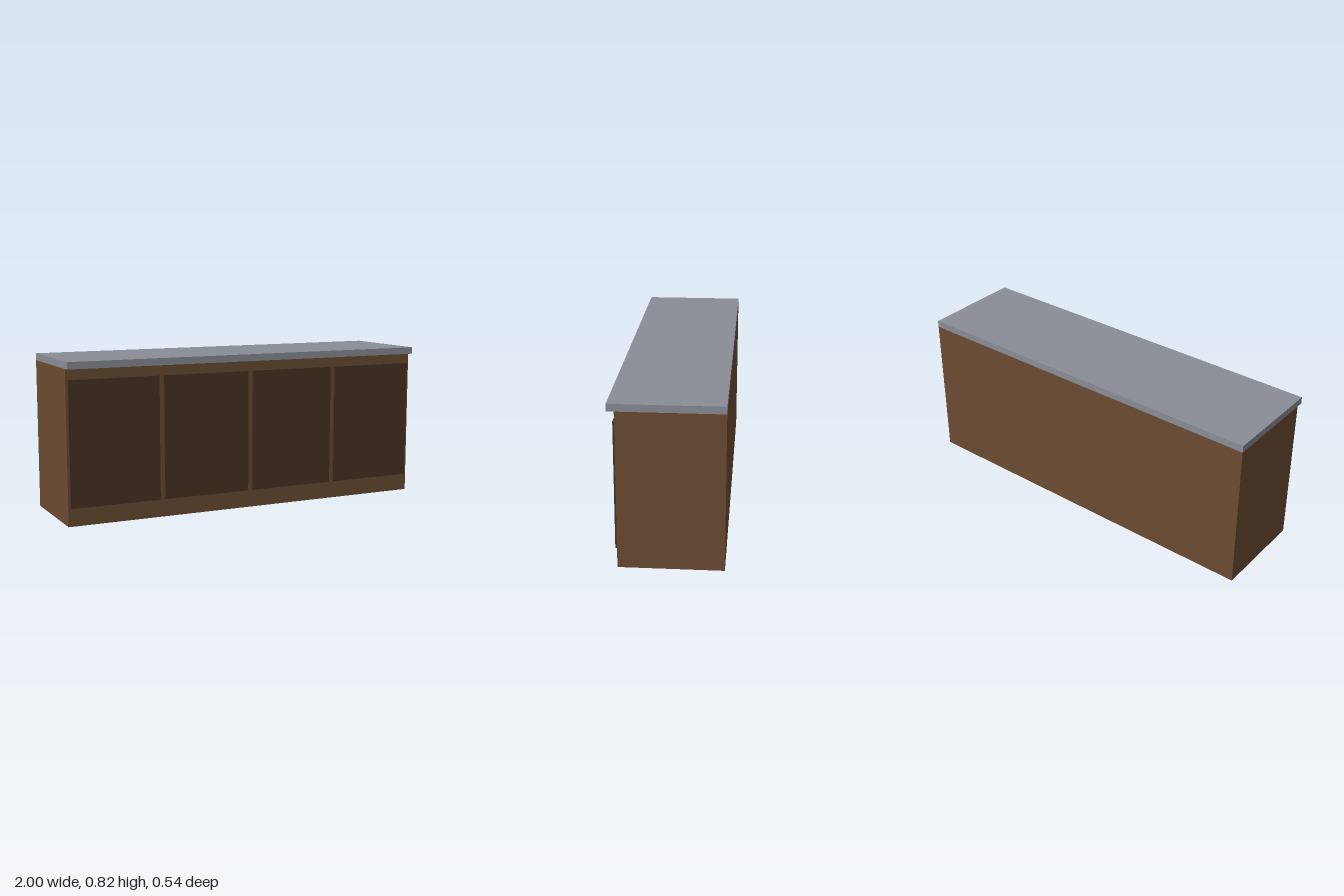
import * as THREE from 'three';

const mat = (name, color) => Object.assign(new THREE.MeshStandardMaterial({ color }), { name });

// Box given by its lower and upper limits on each axis
function block(name, material, [x0, x1], [y0, y1], [z0, z1]) {
  const mesh = new THREE.Mesh(new THREE.BoxGeometry(x1 - x0, y1 - y0, z1 - z0), material);
  mesh.position.set((x0 + x1) / 2, (y0 + y1) / 2, (z0 + z1) / 2);
  mesh.name = name;
  return mesh;
}

export function createModel() {
  const wood = mat('brown wood', 0x6b4c33);
  const darkWood = mat('dark wood', 0x4a3322);
  const stone = mat('grey worktop', 0x8a8d96);

  const model = new THREE.Group();
  model.name = 'counter';

  // Carcass, flush with the worktop at the back and ends
  model.add(block('cabinet', wood, [-1, 1], [0, 0.782], [-0.272, 0.236]));

  // Worktop overhanging the front
  model.add(block('worktop', stone, [-1, 1], [0.782, 0.818], [-0.272, 0.272]));

  // Four equal door panels standing proud of the front
  const half = 0.2375;
  for (let i = 0; i < 4; i++) {
    const x = -0.752 + i * 0.5;
    model.add(block(`door${i + 1}`, darkWood, [x - half, x + half], [0.092, 0.728], [0.23, 0.246]));
  }
  return model;
}
